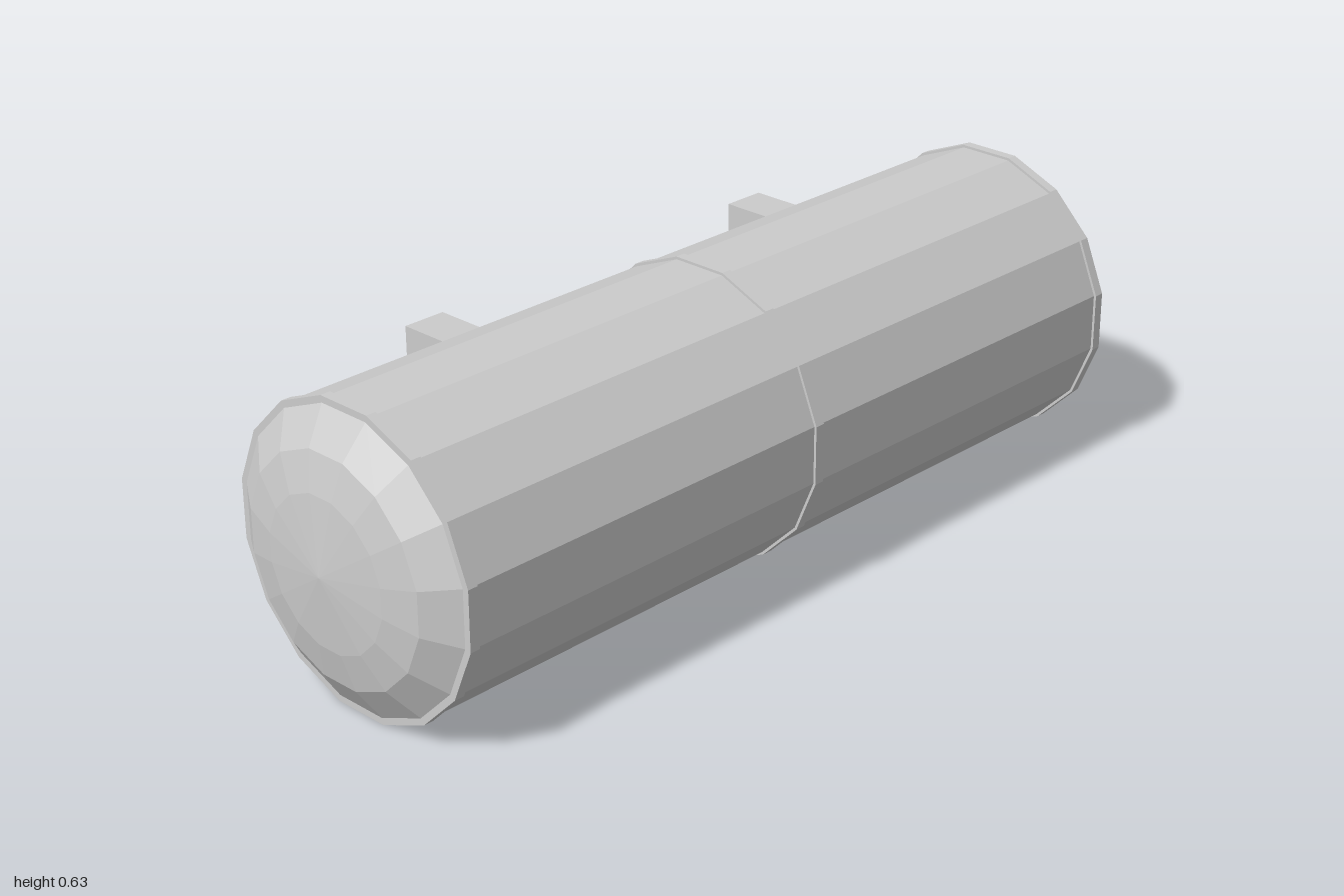
import * as THREE from 'three';

const SIDES = 16;
const AXIS_Y = 0.3155;                  // height of the tank's axis
const CORNER = 1 / Math.cos(Math.PI / SIDES); // flat distance -> corner radius

const material = new THREE.MeshStandardMaterial({ color: 0xcccccc, flatShading: true });
const thinMaterial = new THREE.MeshStandardMaterial({
  color: 0xcccccc, flatShading: true, side: THREE.DoubleSide,
});

// Faceted solid turned around the x axis; profile is [flat distance, x] pairs
function turned(name, profile) {
  const points = profile.map(([r, x]) => new THREE.Vector2(r * CORNER, x));
  const geometry = new THREE.LatheGeometry(points, SIDES, Math.PI / SIDES);
  geometry.rotateZ(-Math.PI / 2);
  const mesh = new THREE.Mesh(geometry, material);
  mesh.name = name;
  mesh.position.y = AXIS_Y;
  return mesh;
}

// Rectangular sleeve along z, open at both ends
function sleeve(name, width, height, depth) {
  const group = new THREE.Group();
  group.name = name;
  for (const s of [-1, 1]) {
    const plate = new THREE.Mesh(new THREE.PlaneGeometry(width, depth), thinMaterial);
    plate.name = s > 0 ? 'topPlate' : 'bottomPlate';
    plate.rotation.x = -s * Math.PI / 2;
    plate.position.y = s * height / 2;
    const wall = new THREE.Mesh(new THREE.PlaneGeometry(depth, height), thinMaterial);
    wall.name = s > 0 ? 'leftWall' : 'rightWall';
    wall.rotation.y = s * Math.PI / 2;
    wall.position.x = s * width / 2;
    group.add(plate, wall);
  }
  return group;
}

export function createModel() {
  const model = new THREE.Group();
  model.name = 'tank';

  // Main shell
  model.add(turned('shell', [[0.31, -0.915], [0.31, 0.915]]));

  // Domed ends
  const dome = [[0.303, 0.92], [0.232, 0.967], [0.155, 0.985], [0, 1]];
  model.add(turned('leftDome', dome));
  model.add(turned('rightDome', dome.map(([r, x]) => [r, -x]).reverse()));

  // Raised bands at both ends and the middle
  for (const [name, x] of [['rightBand', -0.91], ['middleBand', 0], ['leftBand', 0.91]]) {
    const a = x - 0.011, b = x + 0.011;
    model.add(turned(name, [[0.3, a], [0.3155, a], [0.3155, b], [0.3, b]]));
  }

  // Four open mounting brackets on the back
  for (const [side, x] of [['right', -0.459], ['left', 0.459]]) {
    for (const [level, y] of [['Upper', 0.4965], ['Lower', 0.1365]]) {
      const bracket = sleeve(`${side}${level}Bracket`, 0.096, 0.127, 0.115);
      bracket.position.set(x, y, -0.258);
      model.add(bracket);
    }
  }
  return model;
}
